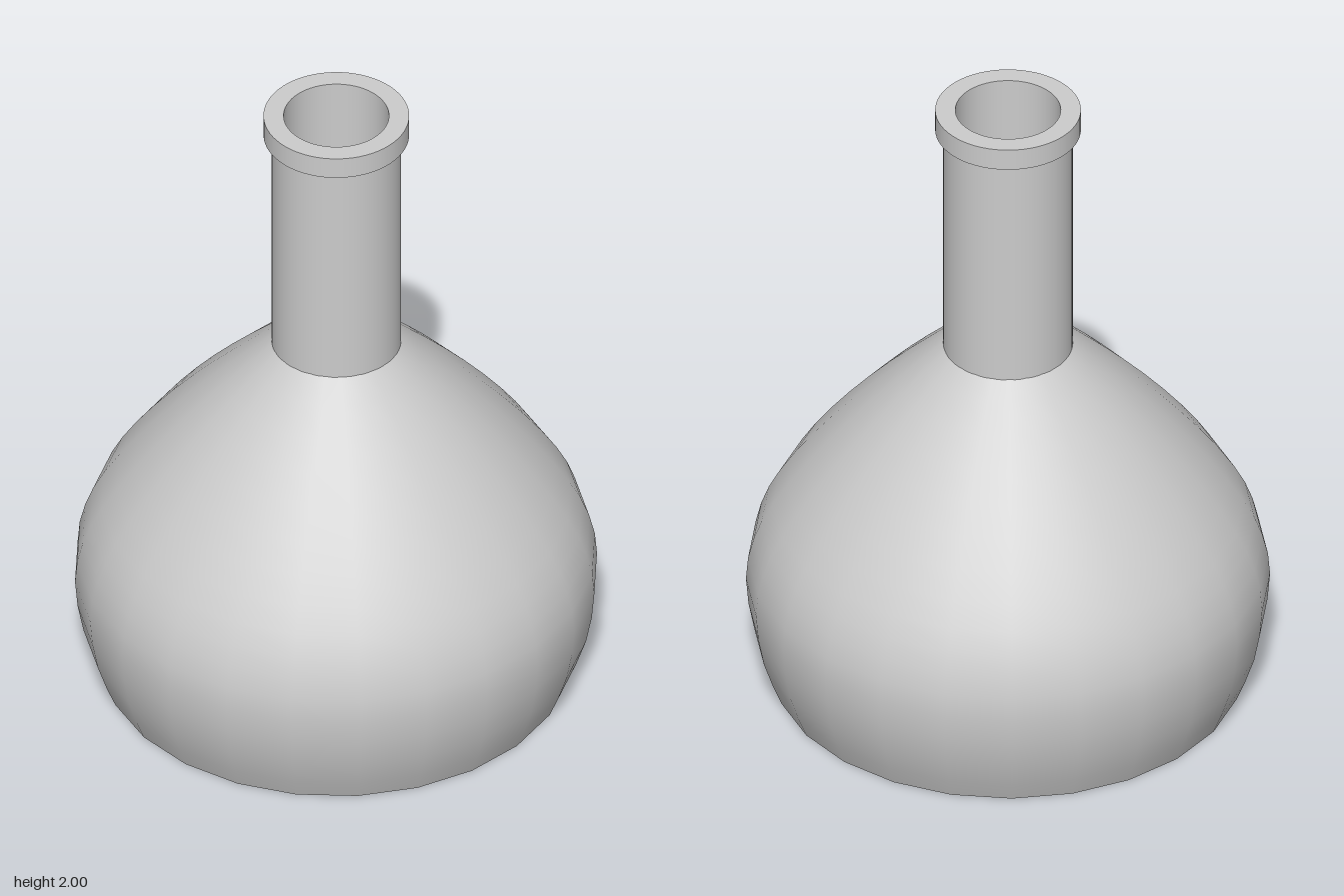
import * as THREE from 'three';
import { mergeGeometries } from 'three/addons/utils/BufferGeometryUtils.js';

const v = (x, y) => new THREE.Vector2(x, y);

// Lathe each straight profile segment on its own, so corners stay sharp
function sharpLathe(profile, sides) {
  const bands = [];
  for (let i = 0; i < profile.length - 1; i++) {
    bands.push(new THREE.LatheGeometry([v(...profile[i]), v(...profile[i + 1])], sides));
  }
  return mergeGeometries(bands);
}

export function createModel() {
  const group = new THREE.Group();
  const material = new THREE.MeshStandardMaterial({ color: 0xcccccc });
  const add = (name, geometry) => {
    const mesh = new THREE.Mesh(geometry, material);
    mesh.name = name;
    group.add(mesh);
    return mesh;
  };

  // Bulbous body, 24 sides, rising to a cone inside the neck
  const curve = new THREE.SplineCurve([
    v(0.70, 0), v(0.755, 0.15), v(0.78, 0.33), v(0.757, 0.47), v(0.70, 0.595),
    v(0.60, 0.74), v(0.47, 0.895), v(0.33, 1.04), v(0.19, 1.172),
  ]);
  add('body', new THREE.LatheGeometry([...curve.getPoints(16), v(0, 1.34)], 24));

  // Flat underside
  add('base', sharpLathe([[0, 0], [0.70, 0]], 24));

  // Hollow neck with a collar at the mouth, set a hair off the body's axis
  const neck = add('neck', sharpLathe([
    [0.157, 1.1], [0.193, 1.1], [0.193, 1.93], [0.217, 1.93],
    [0.217, 2], [0.157, 2], [0.157, 1.1],
  ], 64));
  neck.position.set(0.004, 0, -0.004);

  return group;
}
